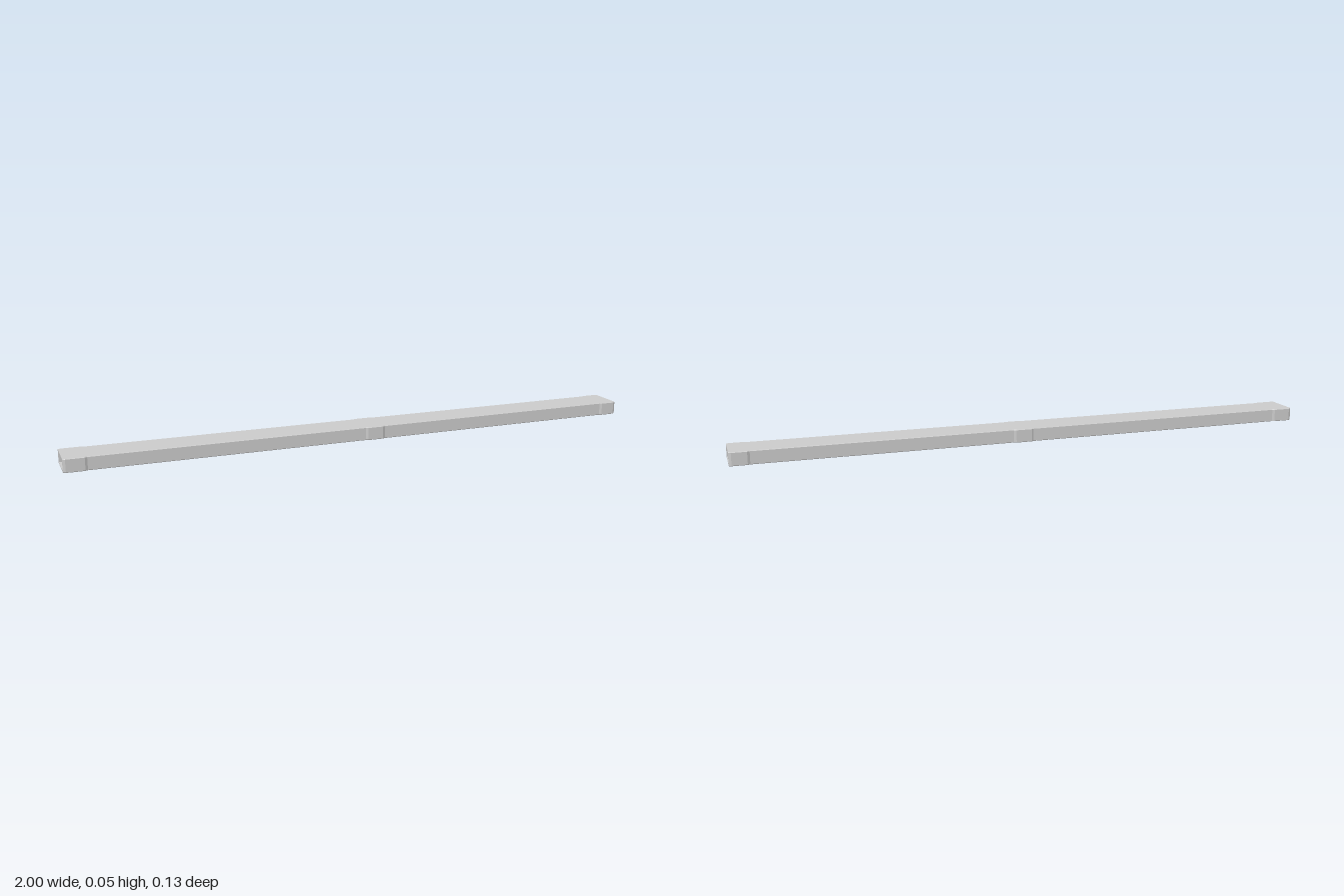
import * as THREE from 'three';

const BODY = 0.059, COLLAR = 0.063;   // half widths
const HEIGHT = 0.045, TAPER = 0.008;

// Rectangular outline with small cut corners
function outline(path, half, y0, y1, cut) {
  path.moveTo(-half + cut, y0);
  path.lineTo(half - cut, y0);
  path.lineTo(half, y0 + cut);
  path.lineTo(half, y1 - cut);
  path.lineTo(half - cut, y1);
  path.lineTo(-half + cut, y1);
  path.lineTo(-half, y1 - cut);
  path.lineTo(-half, y0 + cut);
  path.closePath();
  return path;
}

// Rectangular tube section running along x
function tube(half, x0, x1, steps) {
  const shape = outline(new THREE.Shape(), half, 0, HEIGHT, 0.002);
  const hole = new THREE.Path();
  hole.moveTo(-0.052, 0.004);
  hole.lineTo(-0.052, 0.042);
  hole.lineTo(0.052, 0.042);
  hole.lineTo(0.052, 0.004);
  hole.closePath();
  shape.holes.push(hole);
  return new THREE.ExtrudeGeometry(shape, { depth: x1 - x0, steps, bevelEnabled: false });
}

export function createModel() {
  const group = new THREE.Group();
  const material = new THREE.MeshStandardMaterial({ color: 0xcccccc, flatShading: true });

  function add(name, geometry, x0) {
    geometry.rotateY(Math.PI / 2);
    geometry.translate(x0, 0, 0);
    geometry.computeVertexNormals();
    const mesh = new THREE.Mesh(geometry, material);
    mesh.name = name;
    group.add(mesh);
  }

  // Two straight hollow lengths
  add('rightDuct', tube(BODY, -0.925, 0, 1), -0.925);
  add('leftDuct', tube(BODY, 0.07, 0.935, 1), 0.07);

  // Wider collars, narrowing to the duct width at both ends
  for (const [name, x0, x1] of [
    ['rightCollar', -1, -0.925], ['middleCollar', 0, 0.07], ['leftCollar', 0.935, 1],
  ]) {
    const length = x1 - x0;
    const geometry = tube(COLLAR, x0, x1, 3);
    const p = geometry.attributes.position;
    for (let i = 0; i < p.count; i++) {
      const step = Math.round(p.getZ(i) / length * 3);
      p.setZ(i, [0, TAPER, length - TAPER, length][step]);
      const atEnd = step === 0 || step === 3;
      if (atEnd && Math.abs(p.getX(i)) > 0.055) {
        p.setX(i, p.getX(i) - Math.sign(p.getX(i)) * (COLLAR - BODY));
      }
    }
    add(name, geometry, x0);
  }
  return group;
}
